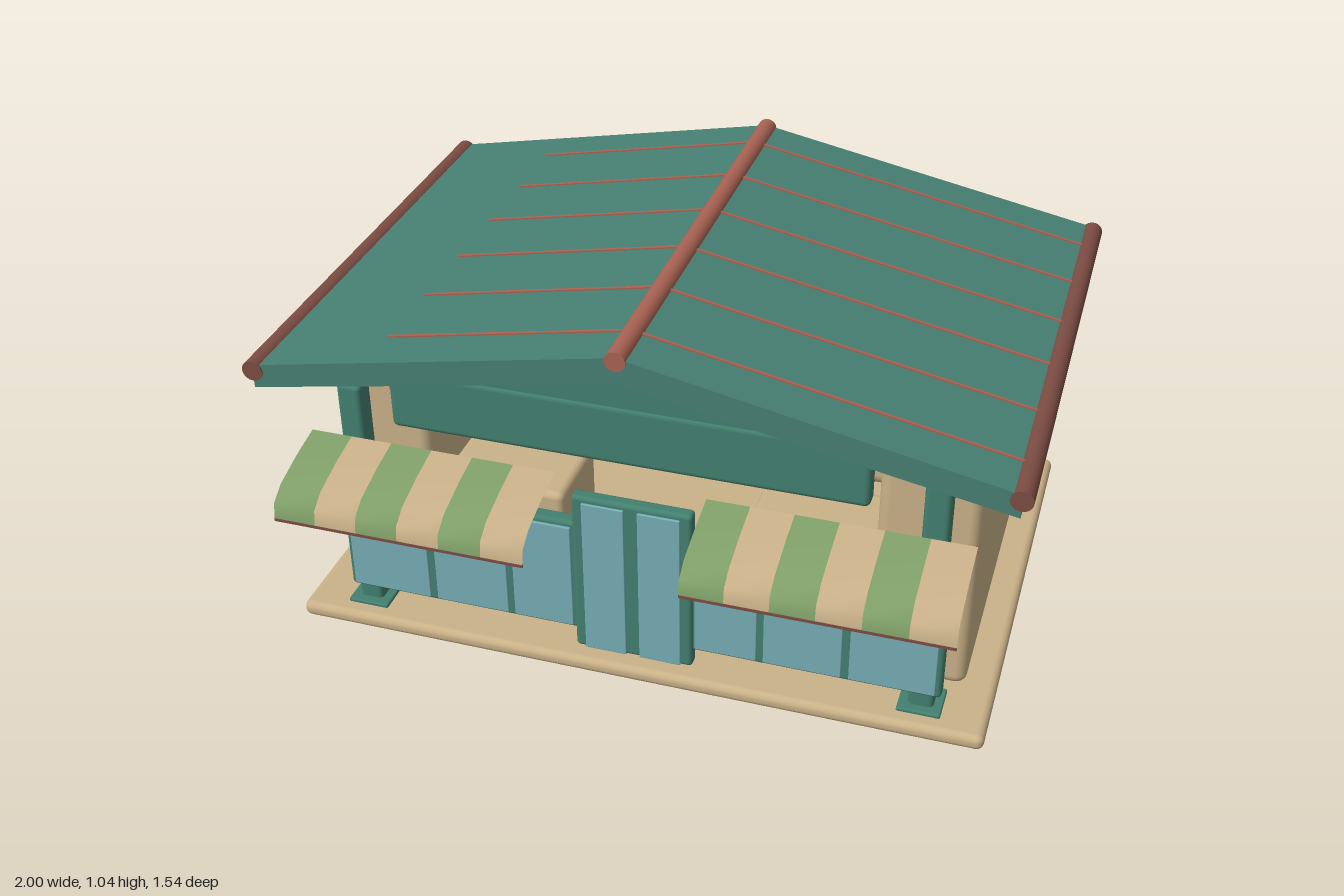
import * as THREE from 'three';
import { RoundedBoxGeometry } from 'three/addons/geometries/RoundedBoxGeometry.js';

const mat = (name, color, side = THREE.FrontSide) => {
  const m = new THREE.MeshStandardMaterial({ color, side });
  m.name = name;
  return m;
};

export function createModel() {
  const model = new THREE.Group();
  model.name = 'shop';
  const tan = mat('sandstone', 0xcab288);
  const teal = mat('teal', 0x43806f);
  const roofTeal = mat('roof teal', 0x478073);
  const glass = mat('glass blue', 0x77adb5);
  const red = mat('terracotta', 0xa86252);
  const brown = mat('dark brown', 0x7c4c43);
  const green = mat('leaf green', 0x7f9f68);
  const clothTan = mat('awning cream', 0xc8b088, THREE.DoubleSide);
  const clothGreen = mat('awning green', 0x7f9f68, THREE.DoubleSide);

  const add = (name, geo, material, parent = model) => {
    const mesh = new THREE.Mesh(geo, material);
    mesh.name = name;
    parent.add(mesh);
    return mesh;
  };
  // Rounded box between two corners
  const block = (name, material, [x0, x1], [y0, y1], [z0, z1], r = 0.008) => {
    const geo = new RoundedBoxGeometry(x1 - x0, y1 - y0, z1 - z0, 3, r);
    geo.translate((x0 + x1) / 2, (y0 + y1) / 2, (z0 + z1) / 2);
    return add(name, geo, material);
  };
  // Same block on the left (+x) and right (-x)
  const pair = (name, material, [x0, x1], y, z, r) => {
    block(name + 'Left', material, [x0, x1], y, z, r);
    block(name + 'Right', material, [-x1, -x0], y, z, r);
  };
  // Flat outline in x, y pushed from z0 to z1
  const slab = (name, material, points, z0, z1) => {
    const shape = new THREE.Shape(points.map(([x, y]) => new THREE.Vector2(x, y)));
    const geo = new THREE.ExtrudeGeometry(shape, { depth: z1 - z0, bevelEnabled: false });
    geo.translate(0, 0, z0);
    return add(name, geo, material);
  };

  // Plinth and threshold
  block('plinth', tan, [-0.945, 0.945], [0.003, 0.048], [-0.73, 0.585], 0.02);
  block('threshold', teal, [-0.155, 0.155], [0, 0.055], [0.49, 0.52], 0.004);

  // Walls, open towards the front
  block('backWall', tan, [-0.868, 0.868], [0.045, 0.775], [-0.69, -0.42], 0.045);
  pair('sideWall', tan, [0.605, 0.865], [0.045, 0.722], [-0.68, 0.4], 0.03);

  // Counters with small goods at their feet
  pair('counter', tan, [0.25, 0.6], [0.045, 0.4], [0.1, 0.36], 0.02);
  [0.31, 0.43, 0.53].forEach((x, i) => {
    pair('goods', [teal, glass, red][i], [x - 0.03, x + 0.03], [0.085, 0.105], [0.35, 0.4], 0.004);
  });

  // Pillars, feet and lintel
  pair('pillar', teal, [0.735, 0.802], [0.045, 0.745], [0.45, 0.515], 0.014);
  pair('pillarFoot', teal, [0.71, 0.825], [0.045, 0.058], [0.43, 0.54], 0.005);
  block('lintel', green, [-0.73, 0.73], [0.765, 0.81], [0.44, 0.5]);
  block('fascia', teal, [-0.617, 0.617], [0.69, 0.86], [0.525, 0.58], 0.016);

  // Shop windows and double door
  pair('windowFrame', teal, [0.15, 0.82], [0.095, 0.442], [0.475, 0.52], 0.012);
  for (const [a, b] of [[0.168, 0.335], [0.353, 0.56], [0.58, 0.805]]) {
    pair('windowPane', glass, [a, b], [0.108, 0.428], [0.519, 0.528], 0.003);
  }
  block('doorFrame', teal, [-0.162, 0.162], [0.045, 0.535], [0.49, 0.53], 0.012);
  pair('doorPane', glass, [0.018, 0.132], [0.05, 0.52], [0.529, 0.537], 0.003);

  // Gable roof
  const ridgeY = 1.022, slope = 0.197, eaveX = 0.972;
  const topY = x => ridgeY - slope * Math.abs(x);
  const eaveY = topY(eaveX);
  slab('roof', roofTeal, [
    [0, ridgeY], [-eaveX, eaveY], [-eaveX, eaveY - 0.065],
    [0, ridgeY - 0.073], [eaveX, eaveY - 0.065], [eaveX, eaveY],
  ], -0.77, 0.617);
  slab('frontGable', teal, [[-0.615, 0.8], [0.615, 0.8], [0.615, 0.835], [0, 0.955], [-0.615, 0.835]], 0.53, 0.575);
  slab('backGable', teal, [[-0.86, 0.765], [0.86, 0.765], [0.86, 0.785], [0, 0.955], [-0.86, 0.785]], -0.68, -0.64);

  // Ridge and eave poles
  const pole = (name, material, x, y, r) => {
    const geo = new THREE.CylinderGeometry(r, r, 1.394, 20).rotateX(Math.PI / 2);
    add(name, geo, material).position.set(x, y, -0.0765);
  };
  pole('ridgePole', red, 0, 1.013, 0.027);
  pole('eavePoleLeft', brown, 0.972, 0.815, 0.028);
  pole('eavePoleRight', brown, -0.972, 0.815, 0.028);

  // Roof seams
  for (let i = 0; i < 6; i++) {
    const z = -0.64 + i * 0.225;
    for (const [x0, x1] of [[0.02, 0.96], [-0.02, -0.65]]) {
      const length = Math.hypot(x1 - x0, topY(x1) - topY(x0));
      const rib = add('roofSeam', new THREE.BoxGeometry(length, 0.012, 0.009), red);
      rib.position.set((x0 + x1) / 2, (topY(x0) + topY(x1)) / 2 - 0.002, z);
      rib.rotation.z = -Math.sign(x1) * Math.atan(slope);
    }
  }

  // Striped awnings: one curved cloth strip per stripe
  const profile = [[0.53, 0.6], [0.62, 0.582], [0.72, 0.553], [0.763, 0.522], [0.77, 0.478]];
  const stripe = (x0, x1) => {
    const geo = new THREE.PlaneGeometry(1, 1, 1, profile.length - 1);
    const p = geo.attributes.position;
    for (let i = 0; i < p.count; i++) {
      const [z, y] = profile[Math.floor(i / 2)];
      p.setXYZ(i, i % 2 ? x1 : x0, y, z);
    }
    geo.computeVertexNormals();
    return geo;
  };
  for (const start of [-0.875, 0.2]) {
    const awning = new THREE.Group();
    awning.name = start > 0 ? 'awningLeft' : 'awningRight';
    const w = 0.675 / 6;
    for (let i = 0; i < 6; i++) {
      add('awningStripe', stripe(start + i * w, start + (i + 1) * w), i % 2 ? clothTan : clothGreen, awning);
    }
    const hem = add('awningHem', new THREE.BoxGeometry(0.675, 0.008, 0.006), brown, awning);
    hem.position.set(start + 0.3375, 0.477, 0.768);
    model.add(awning);
  }
  pair('awningBracket', teal, [0.505, 0.57], [0.464, 0.474], [0.59, 0.655], 0.004);

  return model;
}
